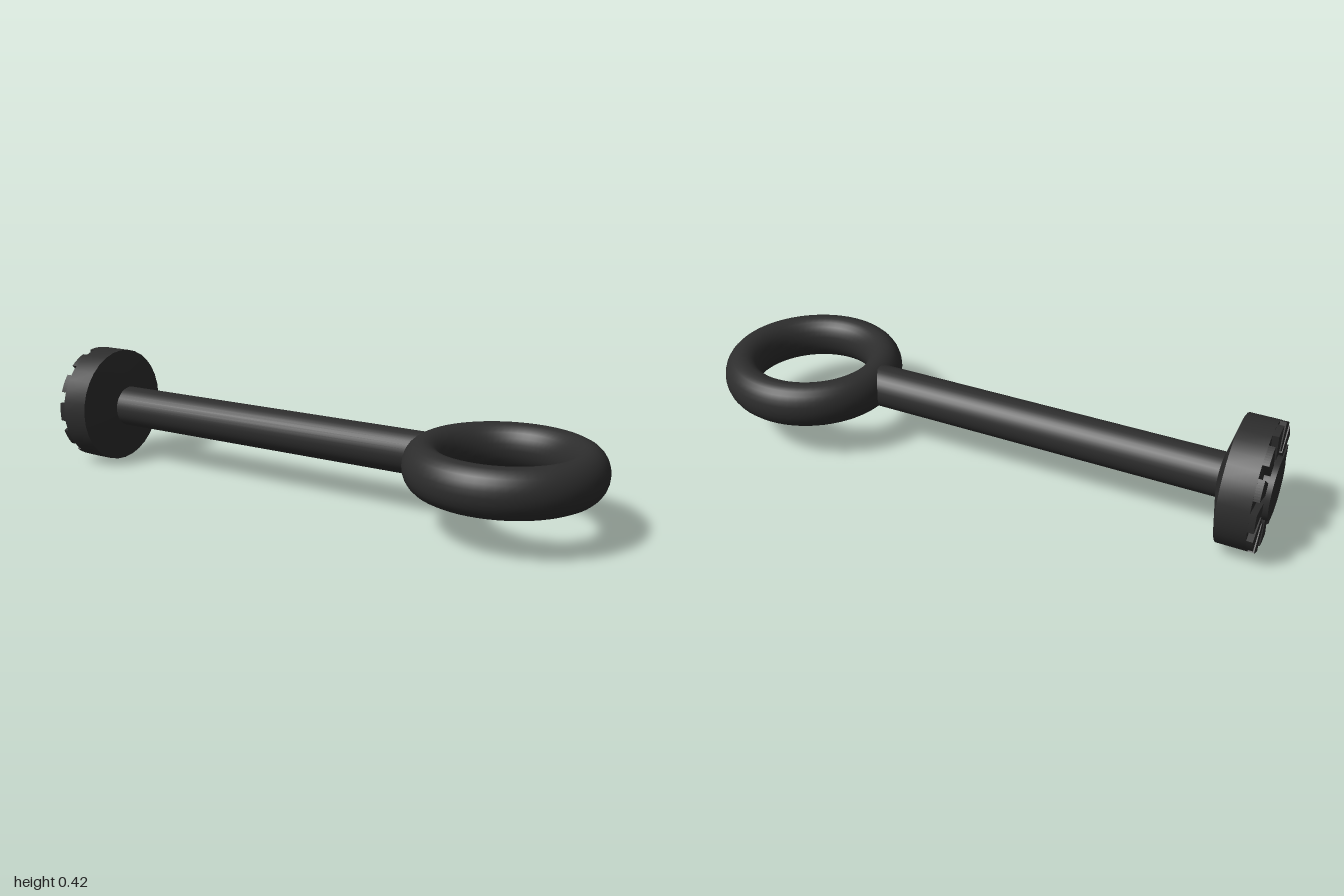
import * as THREE from 'three';
import { toCreasedNormals } from 'three/addons/utils/BufferGeometryUtils.js';

const AXIS_Y = 0.211;

export function createModel() {
  const group = new THREE.Group();
  const black = new THREE.MeshStandardMaterial({ color: 0x2d2d2d });
  black.name = 'matte black';

  const add = (name, geometry, parent = group) => {
    const mesh = new THREE.Mesh(geometry, black);
    mesh.name = name;
    parent.add(mesh);
    return mesh;
  };
  const body = new THREE.Group();
  body.name = 'eyeBolt';
  body.position.y = AXIS_Y;
  group.add(body);

  // Profile turned about the x axis; its height runs towards -x
  const turned = (points, segments) => toCreasedNormals(
    new THREE.LatheGeometry(points.map(p => new THREE.Vector2(...p)), segments).rotateZ(Math.PI / 2), 0.5);

  // Flat-lying ring with a slightly tall oval section
  const ring = new THREE.TorusGeometry(0.254, 0.064, 24, 64);
  ring.rotateX(Math.PI / 2).scale(1, 0.079 / 0.064, 1);
  add('ring', ring, body).position.x = 0.682;

  // Shaft running from the head into the ring
  add('shaft', turned([[0, -0.43], [0.073, -0.43], [0.073, 0.84], [0, 0.84]], 32), body);

  // Head with a shallow conical back
  add('head', turned([[0, 0.83], [0.073, 0.83], [0.209, 0.865], [0.209, 0.965], [0, 0.965]], 32), body);

  // Round boss in the middle of the head's face
  add('boss', turned([[0, 0.96], [0.102, 0.96], [0.102, 1], [0, 1]], 32), body);

  // Radial teeth around the face
  const teeth = new THREE.Group();
  teeth.name = 'teeth';
  body.add(teeth);
  const count = 12, half = Math.PI / count * 0.62;
  const sector = new THREE.Shape();
  sector.absarc(0, 0, 0.208, -half, half, false);
  sector.absarc(0, 0, 0.115, half, -half, true);
  sector.closePath();
  const toothGeometry = new THREE.ExtrudeGeometry(sector, { depth: 0.025, bevelEnabled: false, curveSegments: 4 });
  toothGeometry.translate(0, 0, 0.96).rotateY(-Math.PI / 2);
  for (let i = 0; i < count; i++) {
    add('tooth', toothGeometry, teeth).rotation.x = (i / count) * Math.PI * 2;
  }
  return group;
}
